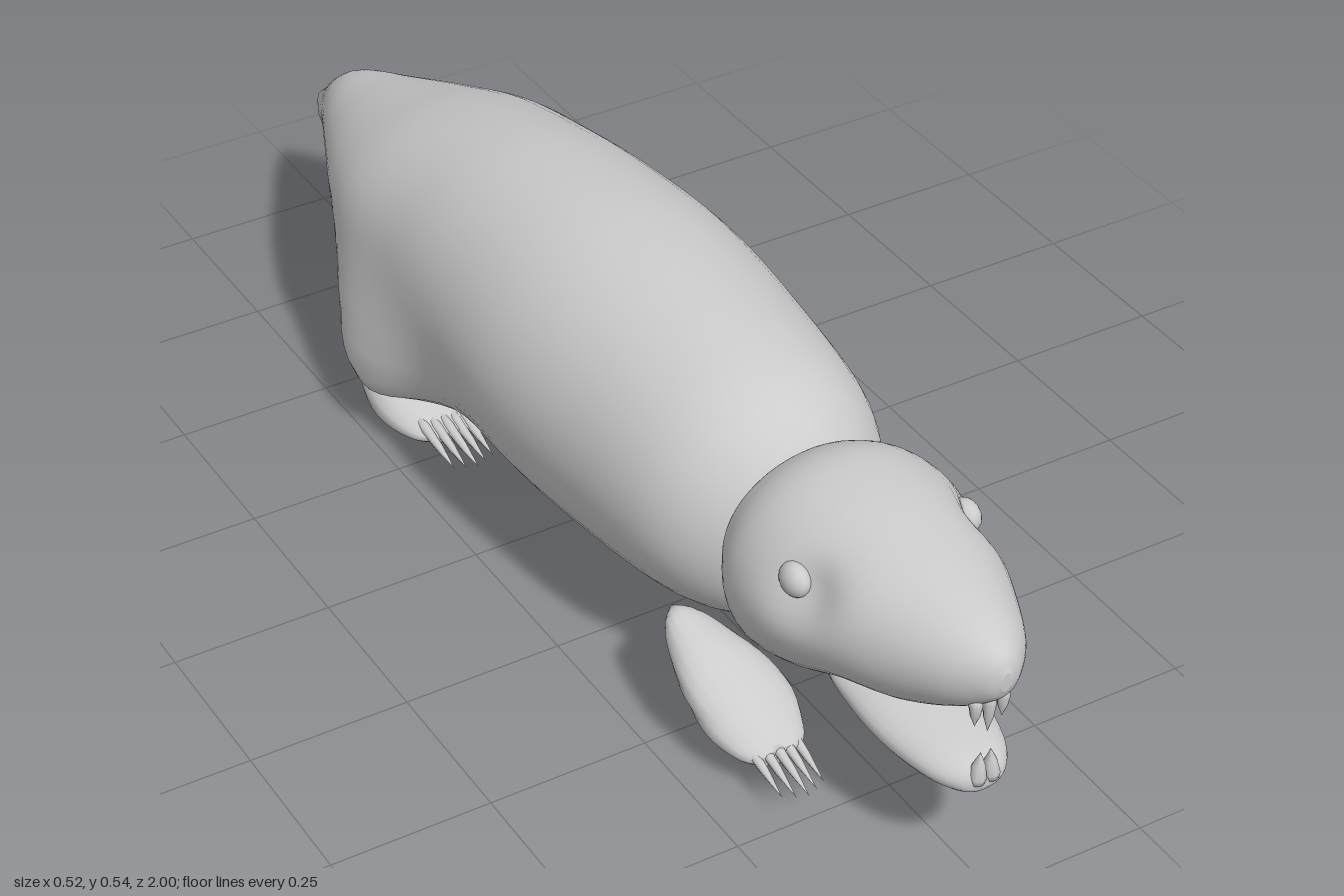
import * as THREE from 'three';

const grey = new THREE.MeshStandardMaterial({ color: 0xcccccc, side: THREE.DoubleSide });

function add(parent, name, geometry, x = 0, y = 0, z = 0) {
  const mesh = new THREE.Mesh(geometry, grey);
  mesh.name = name;
  mesh.position.set(x, y, z);
  parent.add(mesh);
  return mesh;
}

const bump = (value, centre, width) => Math.exp(-Math.pow((value - centre) / width, 2));

// Smooth skin through rings [z, top, bottom, halfWidth], listed front to back.
// shape(point, angle) may push each point further.
function loft(rings, steps, sides, shape) {
  const height = new THREE.CatmullRomCurve3(rings.map(r => new THREE.Vector3(r[0], r[1], r[2])), false, 'catmullrom', 0.5);
  const width = new THREE.CatmullRomCurve3(rings.map(r => new THREE.Vector3(r[3], 0, 0)), false, 'catmullrom', 0.5);
  const pos = [], index = [];
  for (let i = 0; i <= steps; i++) {
    const h = height.getPoint(i / steps);
    const hw = Math.max(0, width.getPoint(i / steps).x);
    for (let j = 0; j < sides; j++) {
      const a = (j / sides) * Math.PI * 2;
      const p = new THREE.Vector3(Math.sin(a) * hw, (h.y + h.z) / 2 + Math.cos(a) * (h.y - h.z) / 2, h.x);
      if (shape) shape(p, a);
      pos.push(p.x, p.y, p.z);
      if (i < steps) {
        const k = i * sides + j, n = i * sides + (j + 1) % sides;
        index.push(k, n, k + sides, n, n + sides, k + sides);
      }
    }
  }
  // end caps
  for (const [start, flip] of [[0, true], [steps * sides, false]]) {
    for (let j = 1; j < sides - 1; j++) {
      if (flip) index.push(start, start + j + 1, start + j);
      else index.push(start, start + j, start + j + 1);
    }
  }
  const geo = new THREE.BufferGeometry();
  geo.setAttribute('position', new THREE.Float32BufferAttribute(pos, 3));
  geo.setIndex(index);
  geo.computeVertexNormals();
  return geo;
}

// Haunches: pull the lower corners of the rear body out and down
function haunch(p, a) {
  const fromTop = a > Math.PI ? Math.PI * 2 - a : a;
  const lobe = bump(p.z, -0.38, 0.155) * bump(fromTop, 2.2, 0.4);
  p.x += (a > Math.PI ? -1 : 1) * 0.078 * lobe;
  p.y -= 0.09 * lobe;
}

// Eye sockets: shallow hollows on both sides of the skull
function socket(p) {
  p.x *= 1 - 0.17 * bump(p.z, 0.735, 0.05) * bump(p.y, 0.395, 0.045);
}

// Pointed claw or tooth standing on y = 0
function claw(length, radius) {
  return new THREE.LatheGeometry([[0, 0], [0.8, 0.05], [1, 0.25], [0.7, 0.62], [0, 1]]
    .map(([r, h]) => new THREE.Vector2(r * radius, h * length)), 8);
}

function addFoot(parent, name, x, rings, lean, clawY, clawZ, tilt) {
  const foot = new THREE.Group();
  foot.name = name;
  foot.position.x = x;
  parent.add(foot);
  // paw leans outward towards the ankle
  add(foot, 'paw', loft(rings, 20, 20, p => { p.x += lean * Math.max(0, p.y - 0.09); }));
  for (let i = -2; i <= 2; i++) {
    const toe = add(foot, 'claw', claw(0.13, 0.009), i * 0.017, clawY, clawZ - Math.abs(i) * 0.008);
    toe.rotation.x = Math.PI / 2 + tilt;
  }
}

export function createModel() {
  const model = new THREE.Group();
  model.name = 'animal';

  // Body running into a thin upright tail edge
  add(model, 'body', loft([
    [0.53, 0.36, 0.22, 0.06], [0.5, 0.435, 0.145, 0.134], [0.4, 0.497, 0.1, 0.197],
    [0.2, 0.53, 0.071, 0.226], [0, 0.542, 0.062, 0.24], [-0.2, 0.528, 0.075, 0.228],
    [-0.35, 0.502, 0.095, 0.215], [-0.5, 0.462, 0.125, 0.205], [-0.62, 0.418, 0.163, 0.168],
    [-0.75, 0.37, 0.182, 0.112], [-0.87, 0.323, 0.175, 0.058], [-0.97, 0.238, 0.16, 0.015], [-1, 0.212, 0.165, 0.003],
  ], 72, 48, haunch));

  // Head with the upper jaw
  const head = new THREE.Group();
  head.name = 'head';
  model.add(head);
  add(head, 'skull', loft([
    [1, 0.385, 0.355, 0.008], [0.985, 0.41, 0.33, 0.034], [0.94, 0.432, 0.292, 0.073],
    [0.86, 0.453, 0.248, 0.115], [0.77, 0.47, 0.222, 0.152], [0.68, 0.481, 0.18, 0.176],
    [0.6, 0.481, 0.156, 0.178], [0.545, 0.46, 0.178, 0.155], [0.515, 0.425, 0.235, 0.12], [0.508, 0.34, 0.32, 0.01],
  ], 63, 48, socket));
  add(head, 'lowerJaw', loft([
    [0.972, 0.182, 0.168, 0.01], [0.962, 0.2, 0.156, 0.038], [0.92, 0.215, 0.151, 0.065],
    [0.84, 0.228, 0.153, 0.083], [0.76, 0.236, 0.163, 0.085], [0.69, 0.235, 0.182, 0.075], [0.62, 0.22, 0.2, 0.02],
  ], 30, 28));

  // Eyes
  for (const s of [-1, 1]) {
    const eye = add(head, s > 0 ? 'leftEye' : 'rightEye', new THREE.SphereGeometry(0.025, 20, 14), s * 0.138, 0.392, 0.702);
    eye.scale.set(0.8, 1, 1.1);
  }

  // Teeth: three pointing down, two pointing up
  for (const [x, len] of [[-0.022, 0.048], [0, 0.066], [0.022, 0.048]]) {
    const tooth = add(head, 'upperTooth', claw(len, 0.01), x, 0.326, 0.965);
    tooth.rotation.x = Math.PI;
  }
  for (const x of [-0.012, 0.012]) {
    const tooth = add(head, 'lowerTooth', claw(0.055, 0.013), x, 0.172, 0.965);
    tooth.rotation.z = x * 6;
  }

  // Feet
  const front = [
    [0.675, 0.072, 0.045, 0.035], [0.65, 0.086, 0.038, 0.056], [0.6, 0.118, 0.036, 0.074],
    [0.55, 0.158, 0.045, 0.074], [0.5, 0.18, 0.072, 0.056], [0.465, 0.19, 0.104, 0.036], [0.442, 0.18, 0.13, 0.012],
  ];
  const rear = [
    [-0.235, 0.05, 0.033, 0.032], [-0.27, 0.06, 0.018, 0.058], [-0.33, 0.085, 0.004, 0.076],
    [-0.39, 0.105, 0.001, 0.074], [-0.44, 0.118, 0.018, 0.058], [-0.475, 0.12, 0.05, 0.036], [-0.492, 0.112, 0.08, 0.01],
  ];
  for (const s of [-1, 1]) {
    const side = s > 0 ? 'left' : 'right';
    addFoot(model, side + 'FrontFoot', s * 0.135, front, s * 0.4, 0.077, 0.628, 0.28);
    addFoot(model, side + 'RearFoot', s > 0 ? 0.18 : -0.16, rear, s * 0.2, 0.055, -0.28, 0.18);
  }
  return model;
}
